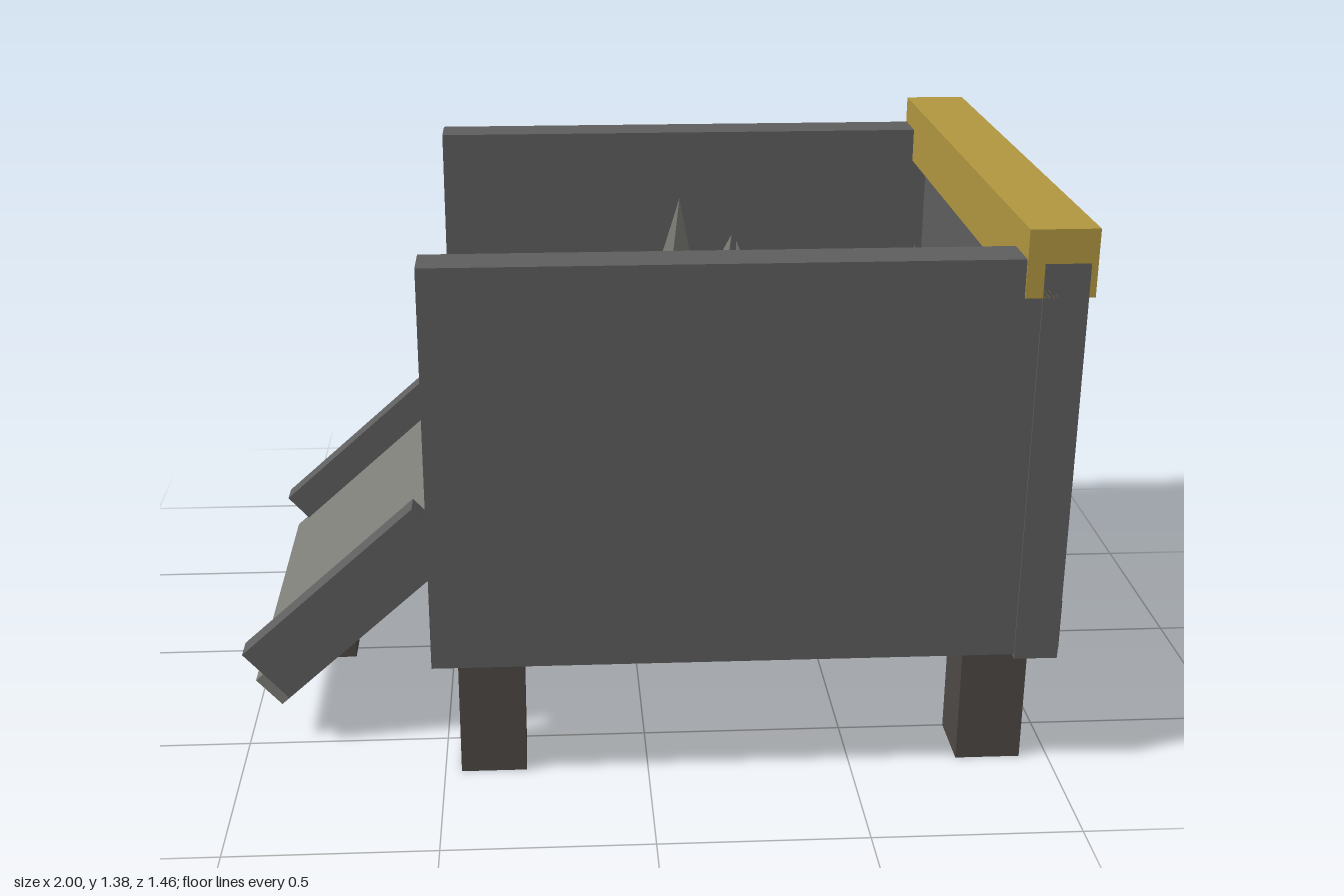
import * as THREE from 'three';

const mat = (color) => new THREE.MeshStandardMaterial({ color, flatShading: true });

export function createModel() {
  const model = new THREE.Group();
  const wall = mat(0x5e5e5e), frame = mat(0x4c4845), metal = mat(0x7c7d76);
  const panel = mat(0x565650), gold = mat(0xb0963f), soil = mat(0x482b20);

  // Box from its min and max corners
  function box(name, material, [x0, y0, z0], [x1, y1, z1], parent = model) {
    const mesh = new THREE.Mesh(new THREE.BoxGeometry(x1 - x0, y1 - y0, z1 - z0), material);
    mesh.position.set((x0 + x1) / 2, (y0 + y1) / 2, (z0 + z1) / 2);
    mesh.name = name;
    parent.add(mesh);
    return mesh;
  }

  // Container: floor, two long walls, tall end wall, low end wall with rail
  box('floor', frame, [-0.5, 0.325, -0.727], [0.99, 0.455, 0.712]);
  box('frontWall', wall, [-0.52, 0.32, 0.61], [0.98, 1.31, 0.72]);
  box('backWall', wall, [-0.515, 0.325, -0.722], [0.98, 1.31, -0.61]);
  box('tallEndWall', wall, [0.88, 0.31, -0.715], [0.985, 1.3, 0.725]);
  box('lowEndWall', panel, [-0.51, 0.33, -0.715], [-0.42, 0.85, 0.705]);
  box('lowEndRail', frame, [-0.525, 0.84, -0.615], [-0.4, 0.94, 0.615]);
  box('topBeam', gold, [0.84, 1.22, -0.73], [1.0, 1.38, 0.725]);

  // Contents, slightly wider at the bottom
  const fill = box('fill', soil, [-0.28, 0.45, -0.57], [0.89, 0.9, 0.54]);
  const p = fill.geometry.attributes.position;
  for (let i = 0; i < p.count; i++) {
    if (p.getY(i) < 0 && p.getX(i) < 0) p.setX(i, p.getX(i) - 0.02);
  }

  // Legs and the small foot under the chute
  for (const x of [-0.46, 0.77]) {
    for (const z of [-0.66, 0.5]) box('leg', frame, [x, 0, z], [x + 0.16, 0.34, z + 0.16]);
  }
  box('chuteFoot', frame, [-0.87, 0, -0.05], [-0.77, 0.13, 0.05]);

  // Sloping chute, built flat from its lower upper corner, then tilted
  const chute = new THREE.Group();
  chute.name = 'chute';
  chute.position.set(-1, 0.26, 0);
  chute.rotation.z = Math.atan2(0.385, 0.435);
  box('chutePlate', metal, [-0.045, -0.178, -0.48], [0.535, -0.085, 0.475], chute);
  box('chuteSide', wall, [0, -0.165, 0.45], [0.58, 0, 0.515], chute);
  box('chuteSide', wall, [0, -0.165, -0.525], [0.58, 0, -0.46], chute);
  model.add(chute);

  // Jagged shards: base x, z, tip offset x, z, height
  const shards = [
    [-0.29, -0.05, -0.1, 0.05, 0.24], [-0.19, 0.15, 0.08, -0.12, 0.26], [-0.1, 0.2, 0.06, 0.04, 0.22],
    [0.03, -0.01, 0.09, -0.02, 0.24], [0.04, 0.17, -0.04, 0.02, 0.2], [0.22, -0.18, 0.05, 0.03, 0.26],
    [0.14, -0.52, 0.01, 0.1, 0.3], [0.31, 0.02, -0.04, -0.11, 0.28], [0.46, 0.02, 0.02, 0.11, 0.28],
    [0.33, 0.16, 0.07, 0.06, 0.22], [0.36, 0.26, -0.07, 0.07, 0.22], [0.75, 0.03, -0.01, -0.07, 0.26],
    [0.75, 0.08, -0.02, 0.05, 0.24], [0.39, 0.53, 0.07, 0.01, 0.24],
  ];
  const up = new THREE.Vector3(0, 1, 0);
  shards.forEach(([x, z, dx, dz, h], i) => {
    const geo = new THREE.ConeGeometry(0.07, h, 3).rotateY(i * 1.7).translate(0, h / 2, 0);
    const shard = new THREE.Mesh(geo, metal);
    shard.name = 'shard';
    shard.position.set(x, 0.88, z);
    shard.quaternion.setFromUnitVectors(up, new THREE.Vector3(dx, h, dz).normalize());
    model.add(shard);
  });

  return model;
}
